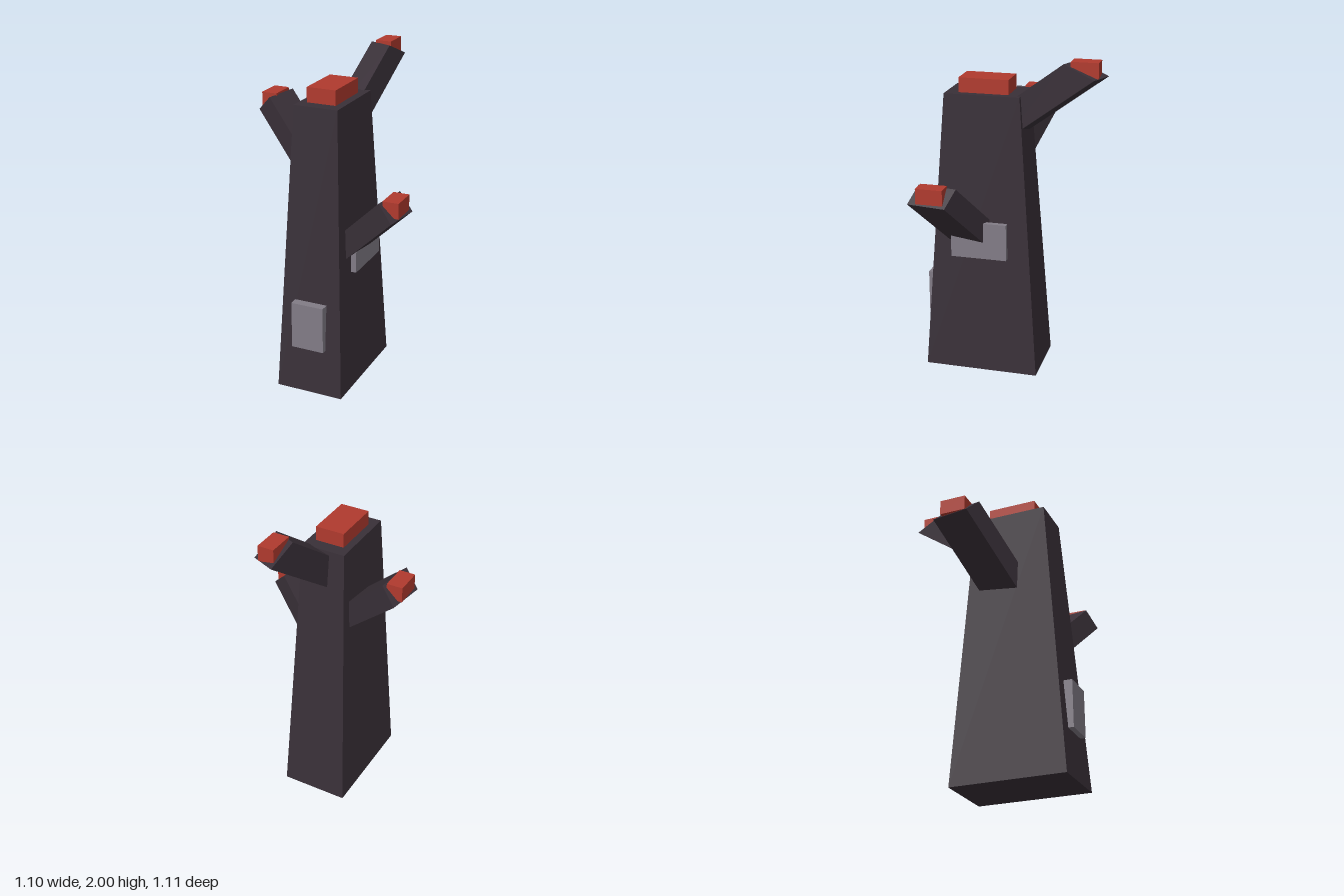
import * as THREE from 'three';

export function createModel() {
  const model = new THREE.Group();
  model.name = 'deadTree';

  const mat = (name, color) => {
    const m = new THREE.MeshStandardMaterial({ color });
    m.name = name;
    return m;
  };
  const bark = mat('dark bark', 0x393038);
  const red = mat('ember red', 0xb03a2e);
  const grey = mat('stone grey', 0x827c86);

  const add = (name, geometry, material) => {
    const mesh = new THREE.Mesh(geometry, material);
    mesh.name = name;
    model.add(mesh);
  };

  // Axis-aligned block from its two extreme corners
  const block = (name, material, [x0, y0, z0], [x1, y1, z1]) => {
    const g = new THREE.BoxGeometry(x1 - x0, y1 - y0, z1 - z0);
    g.translate((x0 + x1) / 2, (y0 + y1) / 2, (z0 + z1) / 2);
    add(name, g, material);
  };

  // Slanted limb: tip corner plus width, depth and inward run vectors
  const limb = (name, corner, width, depth, run) => {
    const [c, w, d, r] = [corner, width, depth, run].map((v) => new THREE.Vector3(...v));
    if (w.clone().cross(d).dot(r) < 0) { // keep the faces turned outward
      c.add(w);
      w.negate();
    }
    const g = new THREE.BoxGeometry(1, 1, 1).translate(0.5, 0.5, 0.5);
    g.applyMatrix4(new THREE.Matrix4().makeBasis(w, d, r).setPosition(c));
    g.deleteAttribute('normal');
    g.computeVertexNormals();
    add(name, g, bark);
  };

  // Tapered trunk
  const height = 1.77;
  const trunk = new THREE.BoxGeometry(1, height, 1).translate(0, height / 2, 0);
  const p = trunk.attributes.position;
  for (let i = 0; i < p.count; i++) {
    const top = p.getY(i) > 0.1;
    p.setX(i, p.getX(i) * (top ? 0.274 : 0.426));
    p.setZ(i, 0.184 + p.getZ(i) * (top ? 0.465 : 0.718));
  }
  trunk.computeVertexNormals();
  add('trunk', trunk, bark);

  // Branches, the two side ones turned half round from each other
  limb('leftBranch', [0.455, 1.285, 0.25], [-0.035, 0, 0.238], [0.095, -0.095, 0.042], [-0.45, -0.44, -0.19]);
  limb('rightBranch', [-0.455, 1.7, 0.118], [0.035, 0, -0.238], [-0.095, -0.095, -0.042], [0.45, -0.44, 0.19]);
  limb('backBranch', [0.005, 1.985, -0.37], [0.142, 0, 0.06], [0.029, -0.08, -0.185], [-0.079, -0.415, 0.55]);

  // Red caps on the trunk and branch tips
  block('trunkCap', red, [-0.092, 1.76, 0.03], [0.09, 1.86, 0.338]);
  block('leftCap', red, [0.438, 1.203, 0.308], [0.535, 1.297, 0.471]);
  block('rightCap', red, [-0.537, 1.617, -0.105], [-0.44, 1.71, 0.059]);
  block('backCap', red, [0.041, 1.907, -0.514], [0.14, 2.0, -0.35]);

  // Grey plates on the front and left of the trunk
  block('frontPlate', grey, [-0.105, 0.297, 0.5], [0.101, 0.59, 0.555]);
  block('leftPlate', grey, [0.197, 0.77, 0.012], [0.23, 1.0, 0.36]);

  return model;
}
